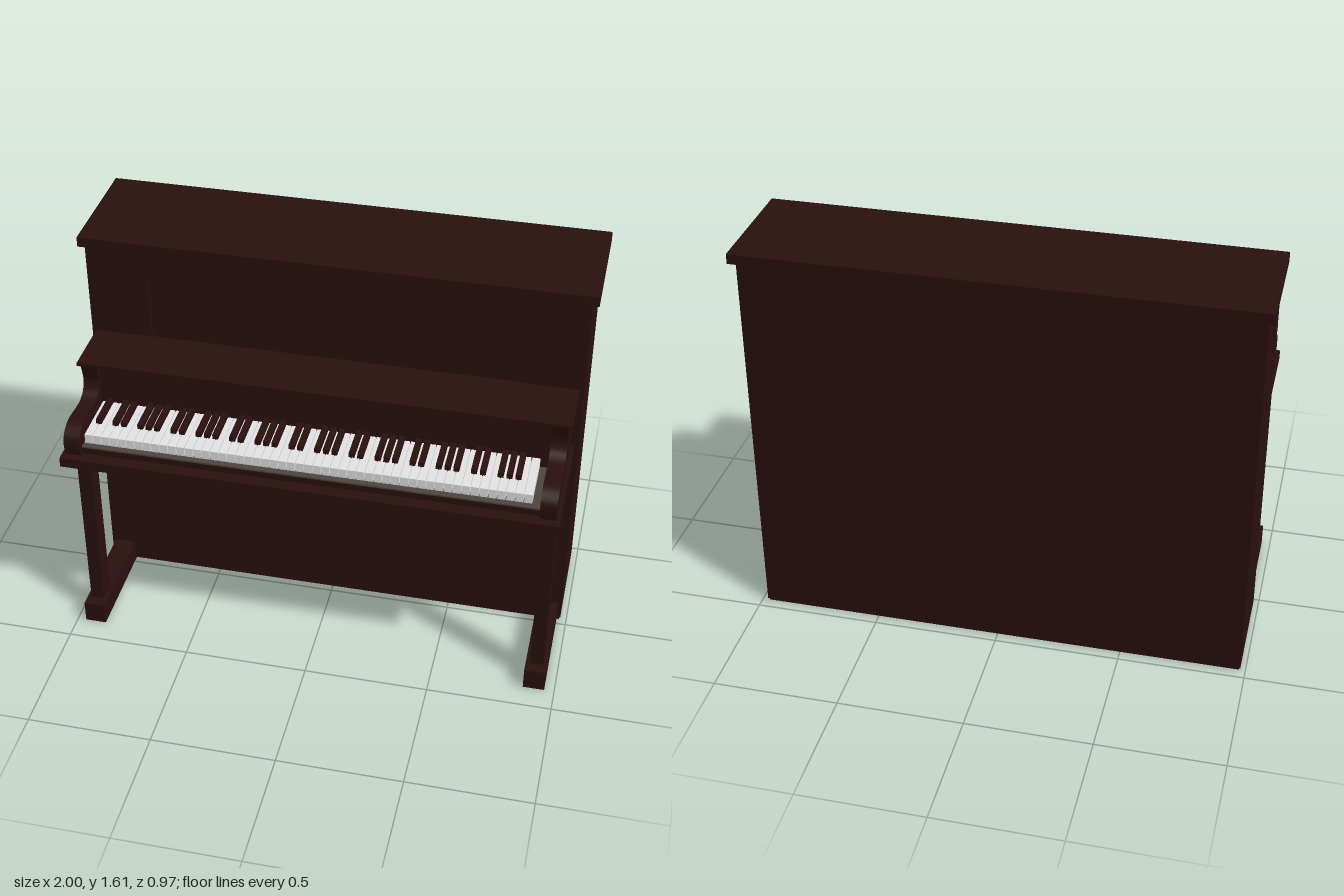
import * as THREE from 'three';

const wood = new THREE.MeshStandardMaterial({ color: 0x2a100f });
wood.name = 'dark mahogany';
const ivory = new THREE.MeshStandardMaterial({ color: 0xe6e6e6 });
ivory.name = 'ivory';
const felt = new THREE.MeshStandardMaterial({ color: 0x50453f });
felt.name = 'key frame brown';

// Box given by its minimum and maximum on each axis
function box(parent, name, [x0, x1], [y0, y1], [z0, z1], material = wood) {
  const mesh = new THREE.Mesh(new THREE.BoxGeometry(x1 - x0, y1 - y0, z1 - z0), material);
  mesh.position.set((x0 + x1) / 2, (y0 + y1) / 2, (z0 + z1) / 2);
  mesh.name = name;
  parent.add(mesh);
  return mesh;
}

function rectangle(Type, x0, x1, y0, y1) {
  return new Type([[x0, y0], [x1, y0], [x1, y1], [x0, y1]].map(([x, y]) => new THREE.Vector2(x, y)));
}

// Scrolled side arm, drawn in (z, y) and extruded along x
function cheek(parent, name, x0, x1) {
  const shape = new THREE.Shape();
  shape.moveTo(-0.03, 0.91);
  shape.lineTo(0.45, 0.91);
  shape.splineThru([
    [0.458, 0.96], [0.45, 0.995], [0.415, 1.024], [0.368, 1.032], [0.3, 1.026],
    [0.248, 1.026], [0.21, 1.046], [0.193, 1.085], [0.198, 1.125], [0.21, 1.168],
  ].map(([z, y]) => new THREE.Vector2(z, y)));
  shape.lineTo(-0.03, 1.168);
  const geometry = new THREE.ExtrudeGeometry(shape, { depth: x1 - x0, bevelEnabled: false, curveSegments: 40 });
  geometry.rotateY(-Math.PI / 2);
  const mesh = new THREE.Mesh(geometry, wood);
  mesh.position.x = x1;
  // shape x now runs along +z, depth along -x
  mesh.name = name;
  parent.add(mesh);
}

function keyboard() {
  const group = new THREE.Group();
  group.name = 'keyboard';
  box(group, 'keyFrame', [-0.89, 0.882], [0.938, 0.946], [0.17, 0.433], felt);
  const count = 52, left = -0.885, pitch = 1.735 / count;
  // Notes run from A; a black key follows A, C, D, F and G
  const hasBlack = [true, false, true, true, false, true, true];
  for (let i = 0; i < count; i++) {
    const x = left + i * pitch;
    box(group, 'whiteKey', [x + 0.0015, x + pitch - 0.0015], [0.946, 0.985], [0.175, 0.408], ivory);
    if (hasBlack[i % 7] && i < count - 1) {
      const edge = x + pitch;
      box(group, 'blackKey', [edge - 0.011, edge + 0.011], [0.98, 1.005], [0.175, 0.328]);
    }
  }
  return group;
}

export function createModel() {
  const piano = new THREE.Group();
  piano.name = 'uprightPiano';

  // Case with a recessed music panel in its front board
  box(piano, 'plinth', [-0.975, 0.97], [0, 0.015], [-0.455, -0.03]);
  box(piano, 'caseBody', [-0.98, 0.975], [0.012, 1.572], [-0.462, -0.043]);
  const front = rectangle(THREE.Shape, -0.98, 0.975, 0.012, 1.572);
  front.holes.push(rectangle(THREE.Path, -0.735, 0.722, 1.12, 1.435));
  const board = new THREE.Mesh(new THREE.ExtrudeGeometry(front, { depth: 0.018, bevelEnabled: false }), wood);
  board.position.z = -0.043;
  board.name = 'frontBoard';
  piano.add(board);
  box(piano, 'lid', [-1, 1], [1.57, 1.61], [-0.485, 0]);

  // Key bed, fallboard and shelf above the keys
  box(piano, 'keyBed', [-0.965, 0.96], [0.875, 0.915], [-0.03, 0.485]);
  box(piano, 'keySlip', [-0.9, 0.89], [0.914, 0.94], [-0.03, 0.435]);
  box(piano, 'fallboard', [-0.9, 0.89], [0.93, 1.168], [-0.03, 0.18]);
  box(piano, 'shelf', [-0.965, 0.96], [1.164, 1.177], [-0.03, 0.215]);
  piano.add(keyboard());

  // Arms, legs and feet on both sides
  cheek(piano, 'rightCheek', -0.952, -0.889);
  cheek(piano, 'leftCheek', 0.882, 0.945);
  for (const [side, x] of [['right', -0.922], ['left', 0.917]]) {
    box(piano, side + 'Leg', [x - 0.027, x + 0.027], [0.085, 0.88], [0.275, 0.355]);
    box(piano, side + 'Foot', [x - 0.043, x + 0.043], [0, 0.092], [-0.03, 0.4]);
  }
  return piano;
}
